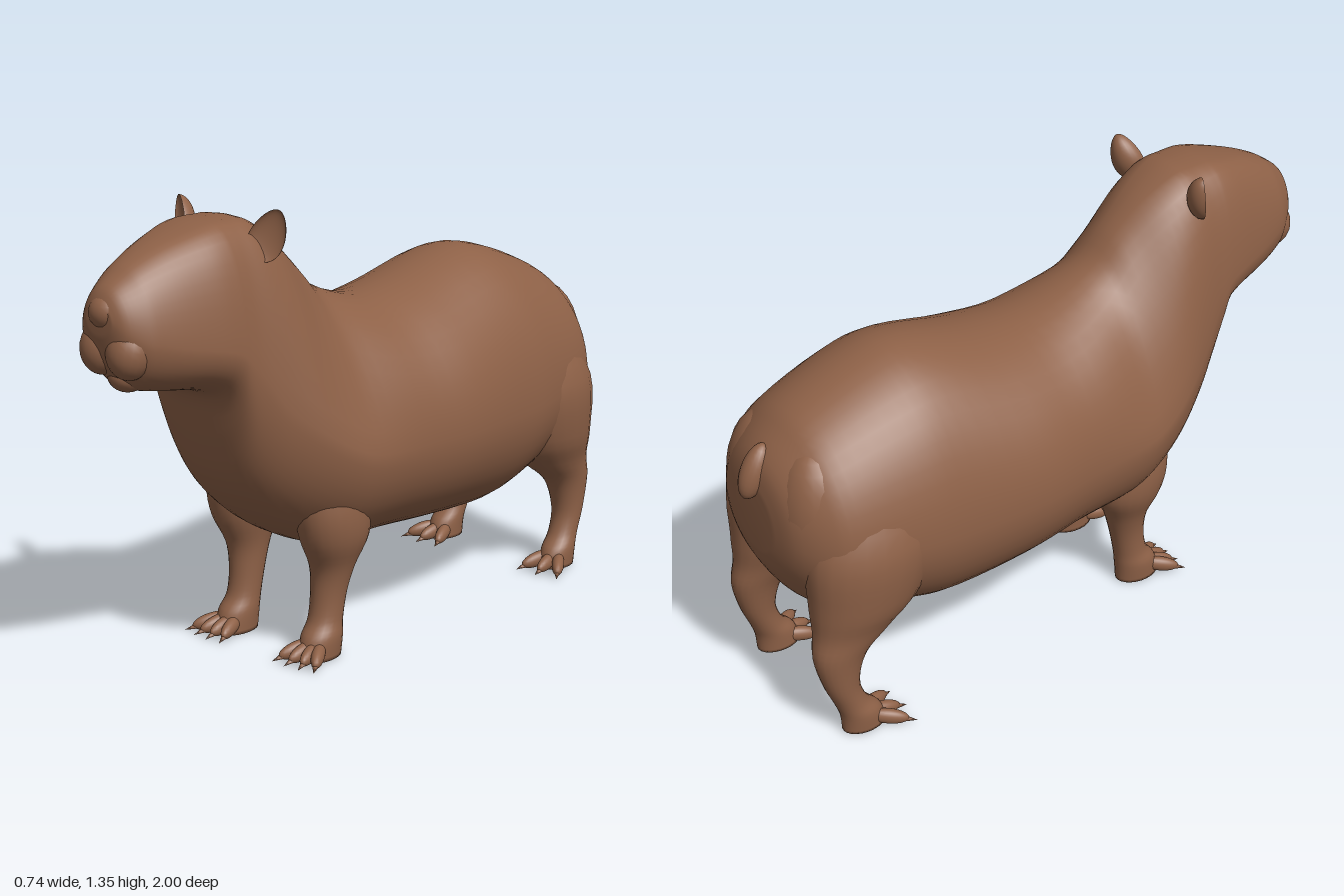
import * as THREE from 'three';

const fur = new THREE.MeshStandardMaterial({ color: 0x8e6147 });
fur.name = 'brown fur';

// Smoothly resample a short table of cross-sections
function resample(rows, steps) {
  const out = [];
  for (let i = 0; i < rows.length - 1; i++) {
    const [a, b, c, d] = [-1, 0, 1, 2].map(k => rows[Math.min(Math.max(i + k, 0), rows.length - 1)]);
    for (let s = 0; s < steps; s++) {
      const t = s / steps;
      out.push(b.map((v, k) => v + 0.5 * t * (c[k] - a[k]
        + t * (2 * a[k] - 5 * v + 4 * c[k] - d[k] + t * (3 * (v - c[k]) + d[k] - a[k])))));
    }
  }
  out.push(rows[rows.length - 1]);
  return out;
}

// Skin a closed, capped surface over rings; point(row, angle) returns [x, y, z]
function loft(name, table, point, sides) {
  const rows = resample(table, 4), pos = [], index = [];
  for (const row of rows) {
    for (let j = 0; j < sides; j++) pos.push(...point(row, j / sides * Math.PI * 2));
  }
  const n = rows.length;
  const capCentre = r => {
    const c = [0, 0, 0];
    for (let j = 0; j < sides; j++) for (let k = 0; k < 3; k++) c[k] += pos[(r * sides + j) * 3 + k] / sides;
    return c;
  };
  pos.push(...capCentre(0), ...capCentre(n - 1));
  for (let j = 0; j < sides; j++) {
    const k = (j + 1) % sides, end = (n - 1) * sides;
    for (let i = 0; i < n - 1; i++) {
      const a = i * sides + j, b = i * sides + k;
      index.push(a, a + sides, b, b, a + sides, b + sides);
    }
    index.push(n * sides, j, k, n * sides + 1, end + k, end + j);
  }
  const geo = new THREE.BufferGeometry();
  geo.setAttribute('position', new THREE.Float32BufferAttribute(pos, 3));
  geo.setIndex(index);
  geo.computeVertexNormals();
  const mesh = new THREE.Mesh(geo, fur);
  mesh.name = name;
  return mesh;
}

function blob(name, p, r, rot = [0, 0, 0]) {
  const mesh = new THREE.Mesh(new THREE.SphereGeometry(1, 20, 14), fur);
  mesh.name = name;
  mesh.position.set(...p);
  mesh.scale.set(...r);
  mesh.rotation.set(...rot);
  return mesh;
}

// Body and head: z, top, bottom, widest height, half width
const bodyRows = [
  [0.985, 1.15, 1.07, 1.11, 0.045], [0.965, 1.19, 0.99, 1.08, 0.085], [0.92, 1.225, 0.925, 1.05, 0.122],
  [0.88, 1.25, 0.9, 1.04, 0.14], [0.8, 1.285, 0.885, 1.02, 0.165], [0.7, 1.315, 0.87, 1, 0.19],
  [0.64, 1.328, 0.83, 0.98, 0.2], [0.61, 1.33, 0.71, 0.95, 0.205], [0.57, 1.33, 0.59, 0.9, 0.215],
  [0.5, 1.325, 0.49, 0.8, 0.245], [0.4, 1.27, 0.4, 0.72, 0.29], [0.3, 1.185, 0.34, 0.66, 0.32],
  [0.2, 1.09, 0.305, 0.63, 0.335], [0, 1.025, 0.295, 0.62, 0.345], [-0.2, 1.04, 0.28, 0.62, 0.368],
  [-0.45, 1.1, 0.265, 0.62, 0.355], [-0.6, 1.085, 0.3, 0.63, 0.345], [-0.8, 1.01, 0.37, 0.65, 0.31],
  [-0.88, 0.95, 0.42, 0.66, 0.265], [-0.94, 0.88, 0.52, 0.68, 0.18], [-0.96, 0.8, 0.59, 0.69, 0.09],
];
// Oval sections, narrowed upwards at the neck and squarer at the crown
function bodyPoint([z, top, bottom, mid, w], t) {
  const c = Math.cos(t), s = Math.sin(t);
  const crown = Math.exp(-(((z - 0.62) / 0.25) ** 2));
  const power = 1 - (s > 0 ? 0.47 : 0.3) * crown;
  const pinch = 0.08 * THREE.MathUtils.smoothstep(z, 0.4, 0.6) + 0.36 * Math.exp(-(((z - 0.3) / 0.17) ** 2));
  const x = w * Math.sign(c) * Math.abs(c) ** power * (1 - pinch * Math.max(0, s));
  return [x, mid + s * (s > 0 ? top - mid : mid - bottom), z];
}

// Legs: height, x, z, half width, half depth
const frontLegRows = [
  [0.62, 0.15, 0.26, 0.1, 0.13], [0.47, 0.175, 0.265, 0.1, 0.125], [0.37, 0.178, 0.255, 0.092, 0.115],
  [0.28, 0.17, 0.255, 0.066, 0.072], [0.2, 0.165, 0.265, 0.053, 0.057], [0.12, 0.165, 0.28, 0.05, 0.055],
  [0.07, 0.168, 0.3, 0.056, 0.07], [0.008, 0.168, 0.31, 0.052, 0.076],
];
const hindLegRows = [
  [0.86, 0.16, -0.68, 0.1, 0.13], [0.66, 0.2, -0.7, 0.145, 0.21], [0.48, 0.207, -0.735, 0.128, 0.182],
  [0.38, 0.212, -0.785, 0.09, 0.132], [0.3, 0.22, -0.842, 0.064, 0.086], [0.2, 0.225, -0.85, 0.05, 0.056],
  [0.12, 0.228, -0.825, 0.046, 0.05], [0.07, 0.232, -0.795, 0.05, 0.064], [0.015, 0.232, -0.785, 0.048, 0.07],
];

function leg(name, rows, side, toes) {
  const group = new THREE.Group();
  group.name = name;
  group.add(loft('legColumn', rows, ([y, x, z, rx, rz], t) =>
    [side * x + rx * Math.cos(t), y, z - rz * Math.sin(t)], 24));
  // Splayed toes, each with a pointed claw
  const [, fx, fz, , rz] = rows[rows.length - 1];
  for (let i = 0; i < toes; i++) {
    const u = i / (toes - 1) * 2 - 1;
    const toe = new THREE.Group();
    toe.name = 'toe';
    toe.position.set(side * (fx + 0.005) + u * 0.034, 0.038, fz + rz * 0.6);
    toe.rotation.y = u * 0.45 + side * 0.12;
    toe.add(blob('toePad', [0, 0, 0.015], [0.02, 0.024, 0.062], [0.2, 0, 0]));
    const claw = new THREE.Mesh(new THREE.ConeGeometry(0.014, 0.055, 8), fur);
    claw.name = 'claw';
    claw.position.set(0, -0.016, 0.073);
    claw.rotation.x = Math.PI / 2 + 0.25;
    toe.add(claw);
    group.add(toe);
  }
  return group;
}

// Cupped ear: a flattened ball whose front half is pushed inwards
function ear(side) {
  const geo = new THREE.SphereGeometry(1, 24, 18), p = geo.attributes.position;
  for (let i = 0; i < p.count; i++) {
    const y = p.getY(i), z = p.getZ(i);
    p.setX(i, p.getX(i) * (1 - 0.25 * y));
    if (z > 0) p.setZ(i, -0.4 * z);
  }
  geo.computeVertexNormals();
  const mesh = new THREE.Mesh(geo, fur);
  mesh.name = side > 0 ? 'leftEar' : 'rightEar';
  mesh.position.set(side * 0.17, 1.287, 0.515);
  mesh.scale.set(0.05, 0.076, 0.045);
  mesh.rotation.set(-0.1, side * 0.5, side * -0.35);
  return mesh;
}

export function createModel() {
  const model = new THREE.Group();
  model.name = 'rodent';
  model.add(loft('bodyAndHead', bodyRows, bodyPoint, 48));
  for (const side of [1, -1]) {
    const s = side > 0 ? 'left' : 'right';
    model.add(leg(s + 'FrontLeg', frontLegRows, side, 4));
    model.add(leg(s + 'HindLeg', hindLegRows, side, 3));
    model.add(ear(side));
    model.add(blob(s + 'MuzzleLobe', [side * 0.05, 1.02, 0.92], [0.065, 0.078, 0.068], [-0.25, 0, 0]));
    model.add(blob(s + 'Buttock', [side * 0.12, 0.72, -0.83], [0.13, 0.22, 0.12]));
  }
  model.add(blob('nose', [0, 1.125, 0.95], [0.055, 0.05, 0.05]));
  model.add(blob('lowerLip', [0, 0.94, 0.885], [0.055, 0.045, 0.055]));
  model.add(blob('tail', [0, 0.845, -0.945], [0.038, 0.085, 0.042], [0.45, 0, 0]));
  return model;
}
